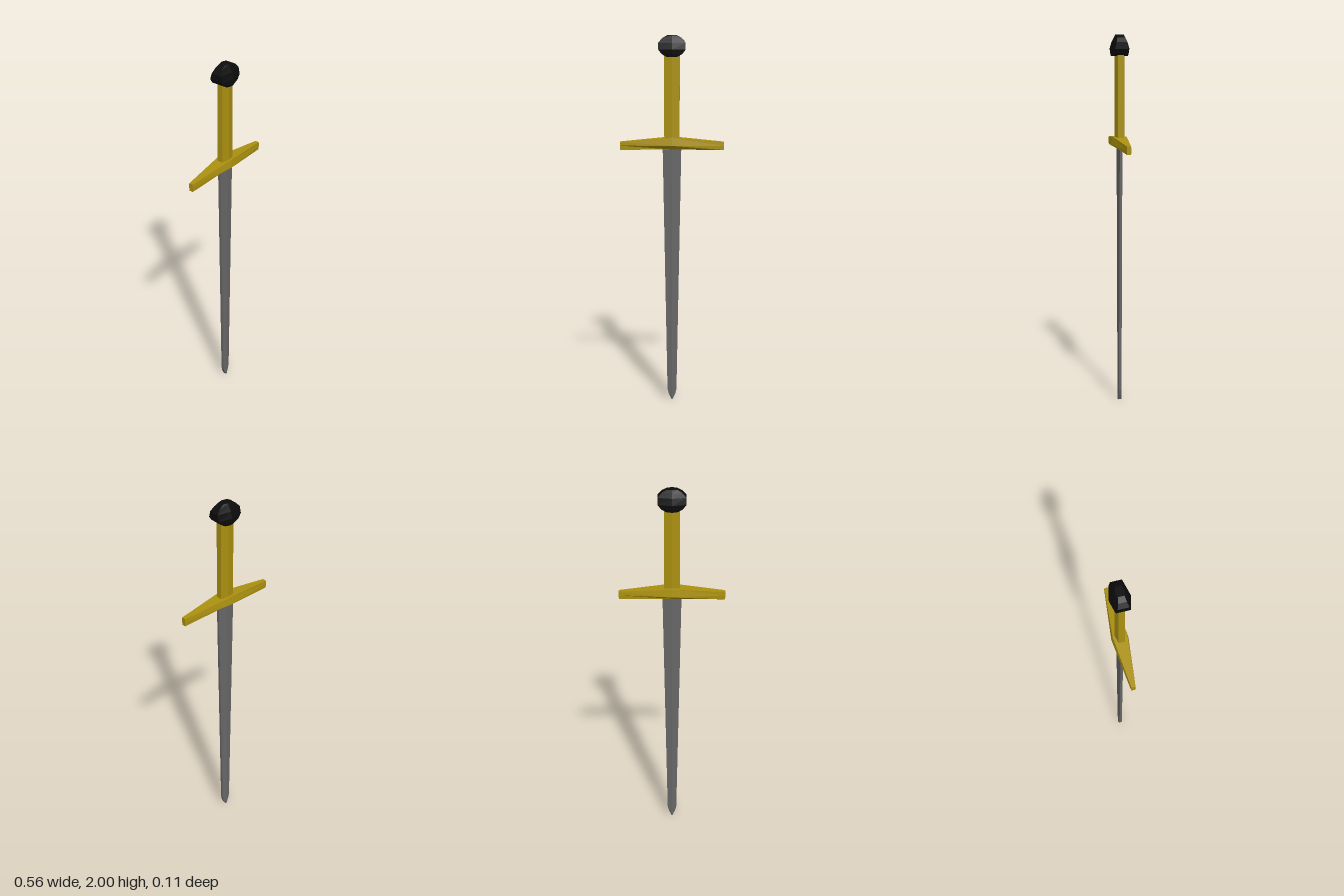
import * as THREE from 'three';

// Skin a list of equal-length rings of [x, y, z] points and close both ends
function loft(rings) {
  const n = rings[0].length, pos = [];
  const tri = (a, b, c) => pos.push(...a, ...b, ...c);
  for (let r = 0; r < rings.length - 1; r++) {
    for (let i = 0; i < n; i++) {
      const j = (i + 1) % n, lo = rings[r], hi = rings[r + 1];
      tri(lo[i], hi[i], lo[j]);
      tri(lo[j], hi[i], hi[j]);
    }
  }
  const first = rings[0], last = rings[rings.length - 1];
  for (let i = 1; i < n - 1; i++) {
    tri(first[0], first[i], first[i + 1]);
    tri(last[0], last[i + 1], last[i]);
  }
  const geo = new THREE.BufferGeometry();
  geo.setAttribute('position', new THREE.Float32BufferAttribute(pos, 3));
  geo.computeVertexNormals();
  return geo;
}

// Six-sided section: half width w, ridge depth d at x = 0, edge depth e at the sides
const hex = ([y, w, d, e]) => [
  [w, y, -e], [w, y, e], [0, y, d], [-w, y, e], [-w, y, -e], [0, y, -d],
];

// Guard section across x: top, widest and bottom heights with their half depths
const guardRing = (x, [yt, zt, ym, zm, yb, zb]) => [
  [x, yt, zt], [x, yt, -zt], [x, ym, -zm], [x, yb, -zb], [x, yb, zb], [x, ym, zm],
];

export function createModel() {
  const material = (name, color) => {
    const m = new THREE.MeshStandardMaterial({ color });
    m.name = name;
    return m;
  };
  const steel = material('steel', 0x666666);
  const gold = material('gold', 0xaa9010);
  const black = material('black', 0x0c0c0c);

  const sword = new THREE.Group();
  sword.name = 'sword';
  const add = (name, geo, mat) => {
    const mesh = new THREE.Mesh(geo, mat);
    mesh.name = name;
    sword.add(mesh);
  };

  // Tapered blade with a central ridge, tip down
  add('blade', loft([
    [0, 0.004, 0.012, 0.008],
    [0.03, 0.018, 0.012, 0.007],
    [0.06, 0.025, 0.012, 0.007],
    [1.42, 0.05, 0.012, 0.007],
  ].map(hex)), steel);

  // Cross guard, thick in the middle and tapering to both ends
  const end = [1.44, 0.011, 1.42, 0.012, 1.397, 0.011];
  const middle = [1.465, 0.038, 1.423, 0.044, 1.4, 0.012];
  add('guard', loft([
    guardRing(-0.278, end), guardRing(0, middle), guardRing(0.278, end),
  ]), gold);

  // Six-sided grip
  add('grip', loft([
    [1.45, 0.041, 0.026, 0.016],
    [1.91, 0.041, 0.026, 0.016],
  ].map(hex)), gold);

  // Faceted pommel, deepest near its base
  add('pommel', loft([
    [1.89, 0.03, 0.046, 0.036],
    [1.905, 0.055, 0.05, 0.037],
    [1.928, 0.072, 0.053, 0.036],
    [1.962, 0.072, 0.043, 0.028],
    [1.985, 0.052, 0.031, 0.021],
    [2.0, 0.026, 0.023, 0.016],
  ].map(hex)), black);

  return sword;
}
